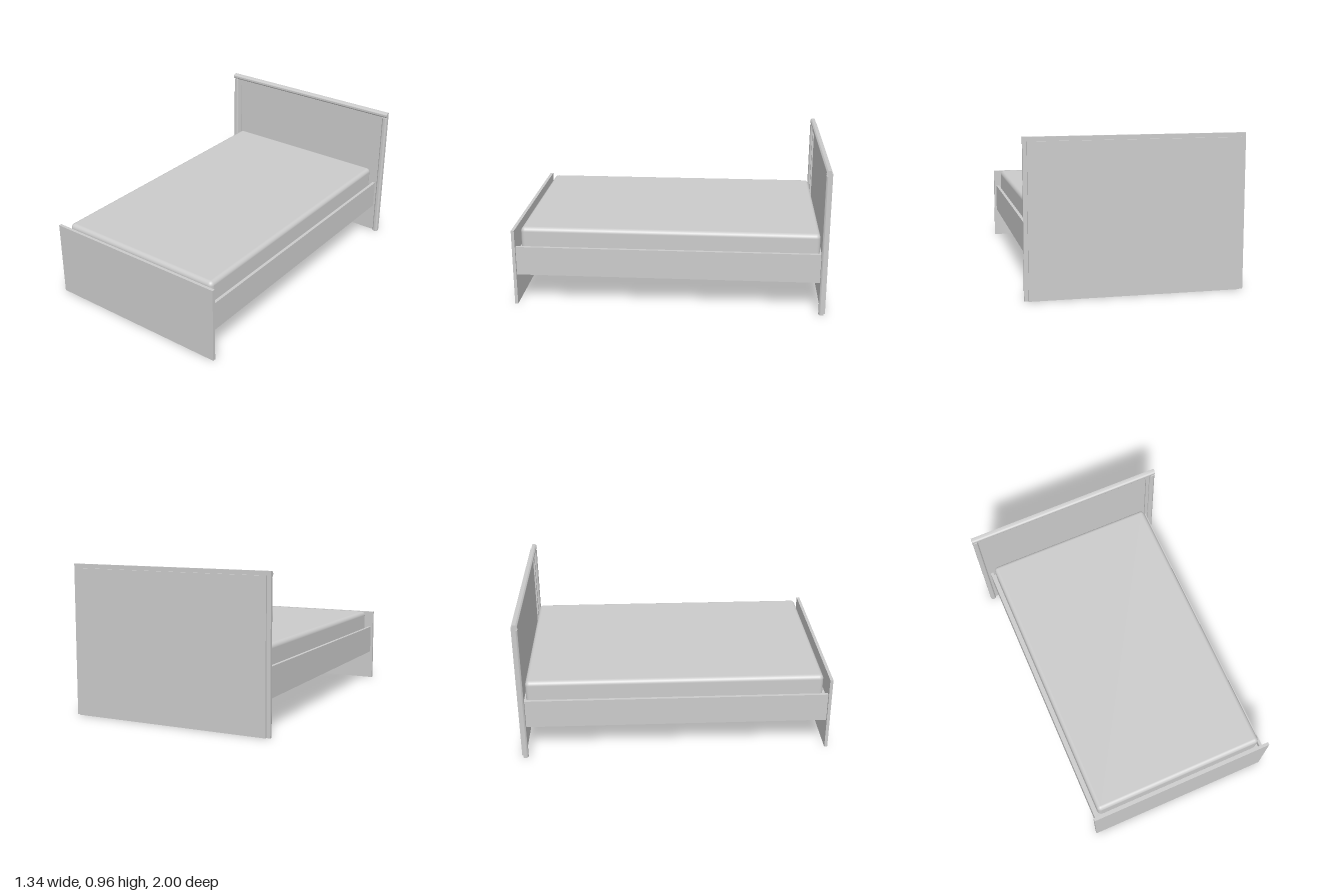
import * as THREE from 'three';
import { RoundedBoxGeometry } from 'three/addons/geometries/RoundedBoxGeometry.js';
import { toCreasedNormals } from 'three/addons/utils/BufferGeometryUtils.js';

const material = new THREE.MeshStandardMaterial({ color: 0xcccccc });

export function createModel() {
  const bed = new THREE.Group();
  bed.name = 'bed';

  const add = (name, geometry, parent = bed) => {
    const mesh = new THREE.Mesh(geometry, material);
    mesh.name = name;
    parent.add(mesh);
    return mesh;
  };
  // Box given by its lower and upper bounds on each axis
  const box = (name, x0, x1, y0, y1, z0, z1, parent) => {
    const mesh = add(name, new THREE.BoxGeometry(x1 - x0, y1 - y0, z1 - z0), parent);
    mesh.position.set((x0 + x1) / 2, (y0 + y1) / 2, (z0 + z1) / 2);
    return mesh;
  };
  // Trim strip with a rounded front: width across, depth forward, extruded along its length
  const trim = (width, depth, length, flat) => {
    const w = width / 2;
    const shape = new THREE.Shape();
    shape.moveTo(-w, 0);
    shape.lineTo(w, 0);
    shape.lineTo(w, flat);
    shape.absellipse(0, flat, w, depth - flat, 0, Math.PI, false);
    shape.lineTo(-w, 0);
    const geometry = new THREE.ExtrudeGeometry(shape, { depth: length, bevelEnabled: false, curveSegments: 16 });
    return toCreasedNormals(geometry, 0.6);
  };

  // Footboard
  box('footboard', -0.632, 0.632, 0, 0.505, 0.98, 1);

  // Side rails and the base between them
  for (const side of [-1, 1]) {
    const rail = box('sideRail', -0.01, 0.01, 0.2, 0.39, -0.975, 0.98);
    rail.position.x = side * 0.606;
  }
  box('mattressBase', -0.596, 0.596, 0.325, 0.345, -0.975, 0.98);

  // Mattress with softened edges
  const mattress = add('mattress', new RoundedBoxGeometry(1.17, 0.17, 1.905, 5, 0.028));
  mattress.position.set(0, 0.425, -0.002);

  // Headboard: back panel, raised frame, posts and top rail
  const headboard = new THREE.Group();
  headboard.name = 'headboard';
  bed.add(headboard);
  box('headboardPanel', -0.645, 0.645, 0, 0.93, -1, -0.984, headboard);

  const frame = new THREE.Shape();
  frame.moveTo(-0.636, 0);
  frame.lineTo(0.636, 0);
  frame.lineTo(0.636, 0.922);
  frame.lineTo(-0.636, 0.922);
  frame.closePath();
  const opening = new THREE.Path();
  opening.moveTo(-0.61, 0.2);
  opening.lineTo(-0.61, 0.876);
  opening.lineTo(0.61, 0.876);
  opening.lineTo(0.61, 0.2);
  opening.closePath();
  frame.holes.push(opening);
  const frameMesh = add('headboardFrame',
    new THREE.ExtrudeGeometry(frame, { depth: 0.01, bevelEnabled: false }), headboard);
  frameMesh.position.z = -0.984;

  for (const side of [-1, 1]) {
    const post = add('headboardPost', trim(0.037, 0.031, 0.92, 0.018), headboard);
    post.rotation.set(Math.PI / 2, 0, 0);
    // Extrusion runs downward from the top once the rounded side faces forward
    post.position.set(side * 0.6515, 0.92, -0.988);
  }

  const topRail = add('headboardTopRail', trim(0.036, 0.031, 1.34, 0.013), headboard);
  // Profile width -> y, depth -> z, length -> x
  topRail.matrix.makeBasis(
    new THREE.Vector3(0, 1, 0), new THREE.Vector3(0, 0, 1), new THREE.Vector3(1, 0, 0));
  topRail.matrix.decompose(topRail.position, topRail.quaternion, topRail.scale);
  topRail.position.set(-0.67, 0.938, -0.988);

  return bed;
}
